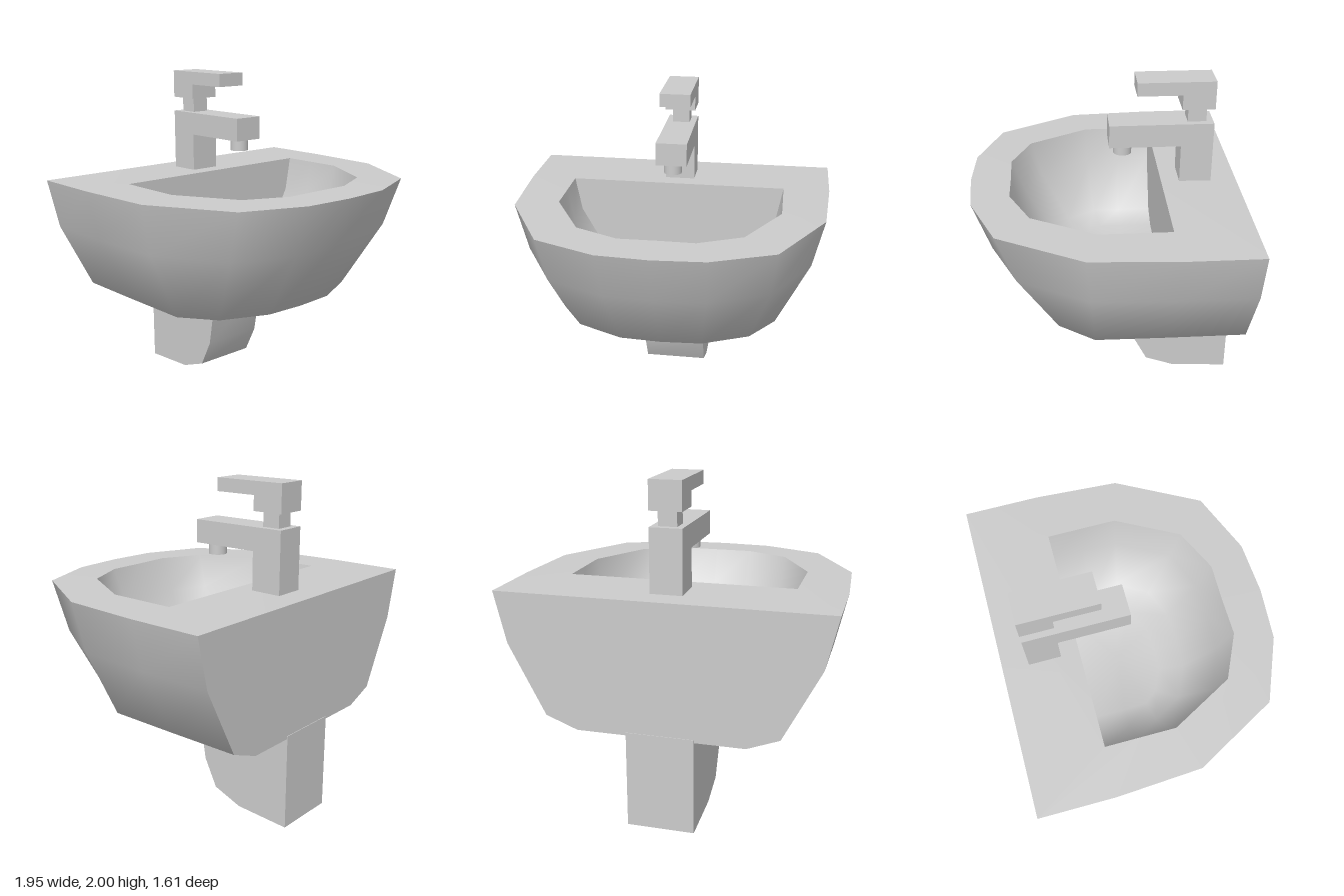
import * as THREE from 'three';
import { toCreasedNormals } from 'three/addons/utils/BufferGeometryUtils.js';

const material = new THREE.MeshStandardMaterial({ color: 0xcccccc });

function addMesh(parent, name, geometry, x = 0, y = 0, z = 0) {
  const mesh = new THREE.Mesh(geometry, material);
  mesh.name = name;
  mesh.position.set(x, y, z);
  parent.add(mesh);
}

// Extrudes a side profile of [z, y] points to a given width, centred on x = 0
function sideExtrude(points, width) {
  const shape = new THREE.Shape(points.map(([z, y]) => new THREE.Vector2(z, y)));
  const geometry = new THREE.ExtrudeGeometry(shape, { depth: width, bevelEnabled: false })
    .translate(0, 0, -width / 2)
    .rotateY(-Math.PI / 2);
  return toCreasedNormals(geometry, 0.6);
}

// Closes a half outline of [x, z] (back corner to front centre) by mirroring it
function ring(y, half) {
  const mirrored = half.slice(0, -1).reverse().map(([x, z]) => [-x, z]);
  return [...half, ...mirrored].map(([x, z]) => [x, y, z]);
}

// Lofts closed rings into a skin with a cap on the first and last ring
function loft(rings) {
  const n = rings[0].length;
  const positions = rings.flat(2);
  const index = [];
  for (let r = 0; r < rings.length - 1; r++) {
    for (let i = 0; i < n; i++) {
      const a = r * n + i, b = r * n + (i + 1) % n;
      index.push(a, a + n, b, b, a + n, b + n);
    }
  }
  const cap = (r, up) => {
    const centre = positions.length / 3;
    const zs = rings[r].map((p) => p[2]);
    positions.push(0, rings[r][0][1], (Math.min(...zs) + Math.max(...zs)) / 2);
    for (let i = 0; i < n; i++) {
      const a = r * n + i, b = r * n + (i + 1) % n;
      index.push(centre, up ? b : a, up ? a : b);
    }
  };
  cap(0, false);
  cap(rings.length - 1, true);
  const geometry = new THREE.BufferGeometry();
  geometry.setAttribute('position', new THREE.Float32BufferAttribute(positions, 3));
  geometry.setIndex(index);
  return toCreasedNormals(geometry, 0.9);
}

export function createModel() {
  const model = new THREE.Group();
  model.name = 'washbasin';

  // Basin: outer shell up to the rim, then down into the bowl
  addMesh(model, 'basin', loft([
    ring(0.567, [[0.495, -0.803], [0.495, -0.4], [0.49, 0], [0.4, 0.14], [0.2, 0.23], [0, 0.24]]),
    ring(0.64, [[0.685, -0.803], [0.685, -0.35], [0.68, 0.09], [0.53, 0.3], [0.25, 0.425], [0, 0.44]]),
    ring(1.06, [[0.903, -0.803], [0.903, -0.35], [0.88, 0.12], [0.65, 0.53], [0.295, 0.68], [0, 0.7]]),
    ring(1.365, [[0.975, -0.803], [0.975, -0.35], [0.945, 0.15], [0.68, 0.635], [0.31, 0.785], [0, 0.805]]),
    ring(1.37, [[0.685, -0.345], [0.685, -0.14], [0.685, 0.075], [0.485, 0.445], [0.225, 0.565], [0, 0.562]]),
    ring(1.155, [[0.645, -0.345], [0.645, -0.14], [0.635, 0.065], [0.465, 0.38], [0.215, 0.48], [0, 0.487]]),
    ring(0.855, [[0.48, -0.345], [0.48, -0.14], [0.48, 0.03], [0.375, 0.21], [0.18, 0.295], [0, 0.3]]),
    ring(0.8, [[0.35, -0.345], [0.35, -0.14], [0.345, 0], [0.28, 0.08], [0.14, 0.145], [0, 0.15]]),
  ]));

  // Pedestal with a curved front foot
  addMesh(model, 'pedestal', sideExtrude([
    [-0.807, 0], [-0.46, 0.02], [-0.275, 0.09], [-0.19, 0.26], [-0.135, 0.575], [-0.807, 0.585],
  ], 0.4));

  // Tap
  const tap = new THREE.Group();
  tap.name = 'tap';
  addMesh(tap, 'spout', sideExtrude([
    [-0.647, 1.36], [-0.455, 1.36], [-0.455, 1.6], [-0.03, 1.6], [-0.03, 1.74], [-0.647, 1.74],
  ], 0.19));
  addMesh(tap, 'neck', new THREE.BoxGeometry(0.11, 0.09, 0.11), 0, 1.785, -0.55);
  addMesh(tap, 'handle', sideExtrude([
    [-0.647, 1.83], [-0.455, 1.83], [-0.455, 1.92], [-0.19, 1.92], [-0.19, 2], [-0.647, 2],
  ], 0.19));
  addMesh(tap, 'nozzle', new THREE.CylinderGeometry(0.055, 0.055, 0.07, 24), 0, 1.565, -0.115);
  model.add(tap);

  return model;
}
